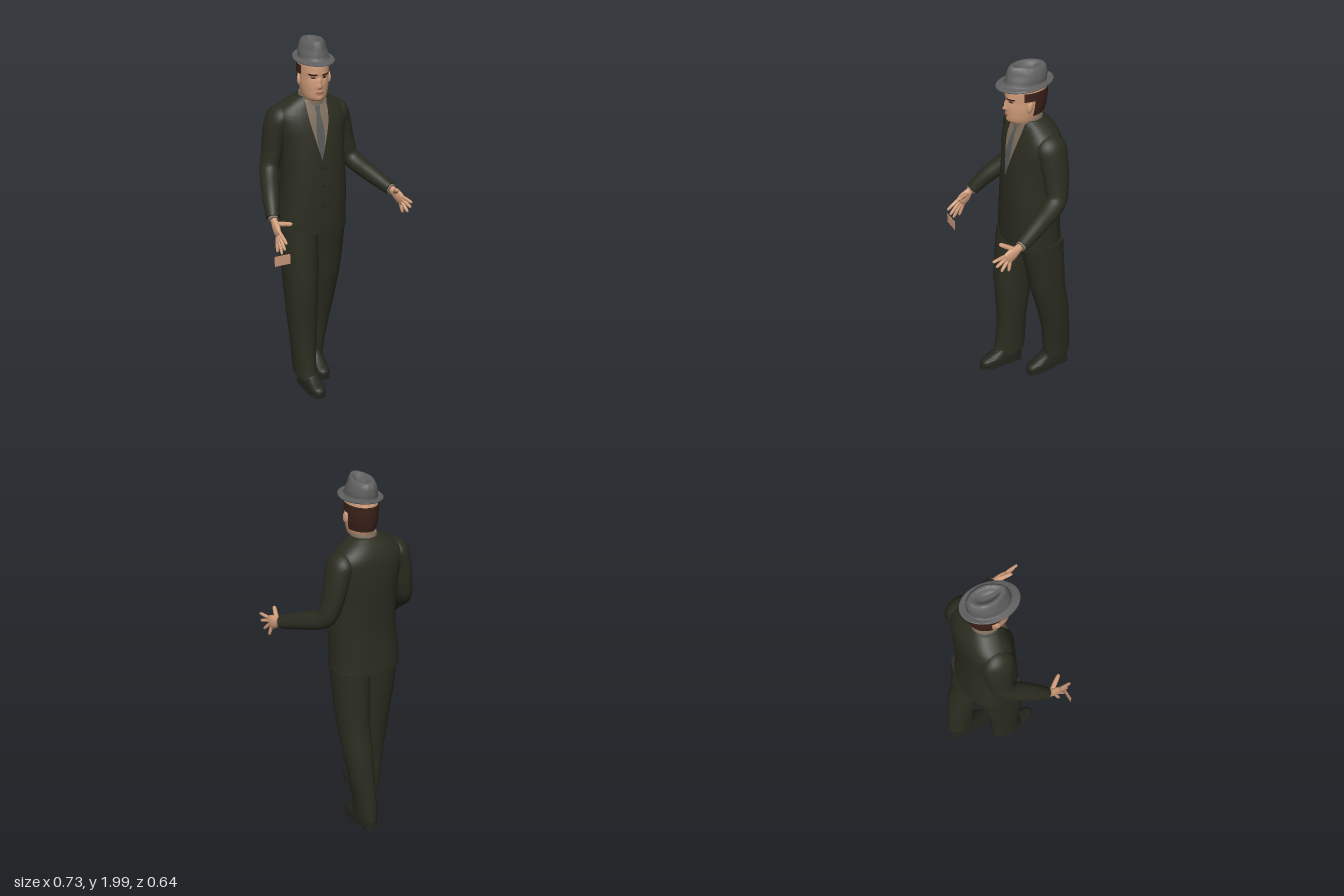
import * as THREE from 'three';
import { toCreasedNormals } from 'three/addons/utils/BufferGeometryUtils.js';

const paint = (name, color) => Object.assign(new THREE.MeshStandardMaterial({ color }), { name });
const MAT = {
  suit: paint('dark olive cloth', 0x2b2c20), skin: paint('skin', 0xd09c7a), hair: paint('brown hair', 0x3a2119),
  hat: paint('grey felt', 0x606060), shirt: paint('beige shirt', 0x80705f), tie: paint('grey tie', 0x565a59),
  shoe: paint('black leather', 0x23251d), card: paint('tan card', 0xc9977a), lips: paint('lips', 0xa56e5a),
  eye: paint('dark eye', 0x2a1c18),
};

// Smooth interpolation through rows of numbers, u from 0 to 1
function at(rows, u) {
  const f = u * (rows.length - 1), i = Math.min(Math.floor(f), rows.length - 2), t = f - i;
  const g = k => rows[Math.max(0, Math.min(rows.length - 1, k))];
  return rows[0].map((_, c) => {
    const [p, a, b, q] = [g(i - 1)[c], g(i)[c], g(i + 1)[c], g(i + 2)[c]];
    return a + 0.5 * t * (b - p + t * (2 * p - 5 * a + 4 * b - q + t * (3 * (a - b) + q - p)));
  });
}
const sp = (v, p) => Math.sign(v) * Math.abs(v) ** (2 / p);

function build(name, mat, pos, idx) {
  const geo = new THREE.BufferGeometry();
  geo.setAttribute('position', new THREE.Float32BufferAttribute(pos, 3));
  geo.setIndex(idx);
  const mesh = new THREE.Mesh(toCreasedNormals(geo, 1.0), mat);
  mesh.name = name;
  return mesh;
}

// Oval cross-sections along a path: rows are [x, y, z, radius along hint, radius across]
function sweep(name, mat, rows, { n = 24, steps = 6, level = false, hint = [0, 0, 1], pow = 2, arc = null, bend = null } = {}) {
  const S = steps * (rows.length - 1), pos = [], idx = [], cols = arc ? n + 1 : n;
  const T = new THREE.Vector3(), U = new THREE.Vector3(), V = new THREE.Vector3(), P = new THREE.Vector3();
  for (let i = 0; i <= S; i++) {
    const r = at(rows, i / S), a = at(rows, Math.max(0, i / S - 0.01)), b = at(rows, Math.min(1, i / S + 0.01));
    if (level) T.set(0, 1, 0); else T.set(b[0] - a[0], b[1] - a[1], b[2] - a[2]).normalize();
    U.set(...hint).addScaledVector(T, -T.dot(U)).normalize();
    V.crossVectors(T, U);
    for (let j = 0; j < cols; j++) {
      const t = arc ? arc[0] + (arc[1] - arc[0]) * j / n : j / n * Math.PI * 2;
      P.set(r[0], r[1], r[2]).addScaledVector(U, r[3] * sp(Math.cos(t), pow)).addScaledVector(V, r[4] * sp(Math.sin(t), pow));
      if (bend) bend(P);
      pos.push(P.x, P.y, P.z);
    }
  }
  for (let i = 0; i < S; i++) for (let j = 0; j < n; j++) {
    const k = (j + 1) % cols, a = i * cols + j, b = i * cols + k;
    idx.push(a, b, b + cols, a, b + cols, a + cols);
  }
  if (!arc) [[0, 0], [S, 1]].forEach(([i, end]) => {
    const c = pos.length / 3;
    pos.push(...at(rows, end).slice(0, 3));
    for (let j = 0; j < n; j++) {
      const a = i * n + j, b = i * n + (j + 1) % n;
      idx.push(c, end ? a : b, end ? b : a);
    }
  });
  return build(name, mat, pos, idx);
}

// Upright form from level slices: rows are [y, centre x, half width, front z, back z]
const stack = (name, mat, rows, opt) => sweep(name, mat,
  rows.map(([y, x, rx, f, b]) => [x, y, (f + b) / 2, (f - b) / 2, rx]), { level: true, ...opt });

// Depth of an upright form at (x, y), on its front or back
function surfaceOf(rows, pow, bump = () => 0) {
  const dense = Array.from({ length: 121 }, (_, i) => at(rows, i / 120));
  return (x, y, side = 1) => {
    const i = Math.max(1, dense.findIndex(r => r[0] >= y)), p = dense[i - 1], q = dense[i];
    const t = (y - p[0]) / (q[0] - p[0]), [, c, rx, f, b] = p.map((v, k) => v + (q[k] - v) * t);
    const w = (1 - Math.min(1, Math.abs((x - c) / rx)) ** pow) ** (1 / pow);
    return (f + b) / 2 + side * (f - b) / 2 * w + (side > 0 ? bump(x, y) : 0);
  };
}

// Thin piece lying on a surface: rows are [y, x from, x to], going up
function patch(name, mat, rows, surf, off, side = 1) {
  const nx = 8, ny = 6 * (rows.length - 1), pos = [], idx = [];
  for (let i = 0; i <= ny; i++) {
    const [y, x0, x1] = at(rows, i / ny);
    for (let j = 0; j <= nx; j++) {
      const x = x0 + (x1 - x0) * (side > 0 ? j : nx - j) / nx;
      pos.push(x, y, surf(x, y, side) + off * side);
    }
  }
  for (let i = 0; i < ny; i++) for (let j = 0; j < nx; j++) {
    const a = i * (nx + 1) + j, b = a + nx + 1;
    idx.push(a, a + 1, b + 1, a, b + 1, b);
  }
  return build(name, mat, pos, idx);
}
const mirror = (rows, s, cx) => rows.map(([y, a, b]) => s > 0 ? [y, cx + a, cx + b] : [y, cx - b, cx - a]);
const group = (name, ...parts) => { const g = new THREE.Group(); g.name = name; g.add(...parts); return g; };

function makeHead() {
  const face = [[1.6, 0, .062, .05, -.09], [1.66, 0, .058, .045, -.08], [1.682, 0, .057, .05, -.078], [1.69, 0, .056, .088, -.078],
    [1.71, 0, .063, .1, -.08], [1.735, 0, .069, .102, -.09], [1.77, 0, .074, .104, -.1], [1.81, 0, .076, .102, -.105],
    [1.85, 0, .077, .105, -.107], [1.88, 0, .076, .1, -.102], [1.92, 0, .07, .085, -.085]];
  // Nose, brows, eye sockets, lips and chin as soft bumps: x, y, width, height, amount
  const bumps = [[0, 1.768, .010, .010, .018], [0, 1.793, .008, .018, .012], [.03, 1.83, .02, .008, .005], [-.03, 1.83, .02, .008, .005],
    [.03, 1.812, .013, .008, -.007], [-.03, 1.812, .013, .008, -.007], [0, 1.735, .018, .008, .006], [0, 1.702, .016, .01, .005]];
  const bump = (x, y) => bumps.reduce((s, [bx, by, w, h, k]) => s + k * Math.exp(-(((x - bx) / w) ** 2) - ((y - by) / h) ** 2), 0);
  const surf = surfaceOf(face, 2, bump);
  const g = group('head', stack('face', MAT.skin, face, { n: 72, steps: 7, bend: p => { if (p.z > .02) p.z += bump(p.x, p.y); } }));
  for (const s of [1, -1]) {
    g.add(patch('eyebrow', MAT.hair, mirror([[1.824, .012, .046], [1.833, .014, .056]], s, 0), surf, .002),
      patch('eye', MAT.eye, mirror([[1.807, .024, .036], [1.811, .019, .041], [1.815, .024, .036]], s, 0), surf, .002));
    const ear = new THREE.Mesh(new THREE.SphereGeometry(1, 16, 12), MAT.skin);
    ear.name = 'ear';
    ear.scale.set(.01, .031, .018);
    ear.position.set(s * .078, 1.788, .008);
    ear.rotation.set(-.15, s * .3, 0);
    g.add(ear);
  }
  g.add(patch('mouth', MAT.lips, [[1.729, -.012, .012], [1.735, -.023, .023], [1.741, -.012, .012]], surf, .002));
  // Hair round the back and over the temples
  const shell = face.filter(r => r[0] > 1.72 && r[0] < 1.86).map(([y, x, rx, f, b]) => [y, x, rx + .004, f + .004, b - .005]);
  const brow = [[1.822, 0, .082, .107, -.112], [1.868, 0, .082, .107, -.112]];
  g.add(stack('backHair', MAT.hair, [...shell, [1.868, 0, .081, .104, -.111]], { n: 40, arc: [1.72, 4.563] }),
    stack('templeHair', MAT.hair, brow, { n: 40, arc: [1.2, 5.083] }));
  // Felt hat: underside, brim edge, crown, then the crease on top
  const hat = [[1.888, 0, .068, .1, -.098], [1.886, 0, .098, .147, -.134], [1.891, 0, .102, .153, -.14], [1.895, 0, .098, .147, -.134],
    [1.901, 0, .077, .112, -.108], [1.93, 0, .074, .104, -.109], [1.965, 0, .064, .095, -.107], [1.987, 0, .049, .08, -.094],
    [1.985, 0, .036, .06, -.074], [1.965, 0, .017, .035, -.04], [1.962, 0, .002, .01, -.01]];
  g.add(stack('hat', MAT.hat, hat, { n: 48, bend: p => {
    const r = Math.hypot(p.x / .1, (p.z - .007) / .147);
    if (p.y < 1.9 && r > .75) p.y += (r - .75) * (p.z < 0 ? -.4 * p.z : -.1 * p.z);
    if (p.y > 1.91) {
      p.x *= 1 - 3 * Math.max(0, p.z) * Math.min(1, (p.y - 1.91) / .04);
      p.y += p.z * .05 * (p.y - 1.91) / .08;
    }
  } }));
  g.position.set(-.016, 0, -.07);
  g.rotation.y = -.13;
  return g;
}

function makeJacket() {
  const rows = [[.968, -.018, .19, .045, -.245], [1.05, -.018, .186, .047, -.24], [1.2, -.01, .177, .048, -.232], [1.35, -.012, .171, .04, -.235],
    [1.45, -.014, .176, .028, -.238], [1.54, -.018, .19, .012, -.236], [1.6, -.022, .19, -.005, -.23], [1.64, -.022, .165, -.02, -.215],
    [1.67, -.02, .125, -.03, -.195], [1.7, -.018, .075, -.035, -.165]];
  const surf = surfaceOf(rows, 2.4), cx = -.02;
  const g = group('jacket', stack('jacketBody', MAT.suit, rows, { n: 48, pow: 2.4 }),
    patch('shirtFront', MAT.shirt, [[1.38, -.024, -.018], [1.5, -.056, .016], [1.6, -.078, .038], [1.685, -.078, .038]], surf, .004),
    patch('tie', MAT.tie, [[1.38, -.024, -.018], [1.5, -.042, .002], [1.6, -.034, -.006], [1.625, -.03, -.01], [1.655, -.038, -.002]], surf, .008),
    patch('frontOverlap', MAT.suit, [[.97, -.03, .01], [1.15, -.035, .0], [1.38, -.035, -.01]], surf, .004),
    patch('backVent', MAT.suit, [[.972, -.02, .005], [1.15, -.02, .0]], surf, .005, -1),
    stack('shirtCollar', MAT.shirt, [[1.66, -.018, .075, -.012, -.165], [1.69, -.018, .07, -.012, -.163], [1.715, -.018, .064, -.02, -.158]]));
  for (const s of [1, -1]) g.add(
    patch('collarWing', MAT.shirt, mirror([[1.61, .03, .034], [1.65, .014, .052], [1.69, .004, .06]], s, cx), surf, .011),
    patch('lapel', MAT.suit, mirror([[1.37, -.002, .004], [1.48, .028, .078], [1.57, .05, .118], [1.64, .058, .1], [1.692, .06, .078]], s, cx), surf, .009),
    patch('pocketFlap', MAT.suit, mirror([[1.09, .06, .145], [1.125, .058, .143]], s, cx), surf, .006));
  for (const y of [1.13, 1.24, 1.34]) {
    const button = new THREE.Mesh(new THREE.CylinderGeometry(.008, .008, .006, 12), MAT.shoe);
    button.name = 'button';
    button.rotation.x = Math.PI / 2;
    button.position.set(cx, y, surf(cx, y) + .007);
    g.add(button);
  }
  return g;
}

// Sleeve, cuff, palm, four fingers and a thumb
function makeArm(side, sleeve, wrist, knuckles, tips, thumb) {
  const end = sleeve[sleeve.length - 1].slice(0, 3), mix = (a, b, t) => a.map((v, i) => v + (b[i] - v) * t);
  const up = [0, 1, .5];
  const g = group(side + 'Arm', sweep('sleeve', MAT.suit, sleeve, { n: 24 }),
    sweep('shirtCuff', MAT.shirt, [[...mix(end, wrist, -.5), .029, .026], [...mix(end, wrist, .6), .029, .026]], { hint: up }),
    sweep('palm', MAT.skin, [[...end, .022, .018], [...wrist, .022, .017], [...mix(wrist, knuckles, .55), .035, .017],
      [...knuckles, .034, .012], [...mix(wrist, knuckles, 1.12), .024, .006]], { hint: up }));
  const finger = (name, a, b, r) => sweep(name, MAT.skin,
    [[...a, r, r], [...mix(a, b, .5), r, r], [...mix(a, b, .9), r * .8, r * .8], [...b, r * .2, r * .2]], { n: 10, steps: 4, hint: [1, 0, 0] });
  tips.forEach((tip, i) => {
    const k = (1.5 - i) * .016;
    g.add(finger('finger', [knuckles[0], knuckles[1] + k * .8, knuckles[2] + k * .6], tip, .0092));
  });
  g.add(finger('thumb', mix(wrist, knuckles, .2), thumb, .0125));
  return g;
}

function makeShoe(name, x, y, z, tilt) {
  const g = group(name,
    stack('upper', MAT.shoe, [[.012, 0, .045, .13, -.125], [.03, 0, .049, .134, -.128], [.055, 0, .047, .122, -.128],
      [.075, 0, .044, .075, -.122], [.1, 0, .042, .03, -.115], [.135, 0, .04, .0, -.11]], { n: 32, pow: 2.5 }),
    stack('sole', MAT.shoe, [[.006, 0, .05, .137, -.13], [.018, 0, .051, .138, -.131]], { n: 32, pow: 2.5, steps: 1 }),
    stack('heel', MAT.shoe, [[-.008, 0, .04, -.05, -.127], [.012, 0, .042, -.045, -.129]], { n: 24, pow: 3, steps: 1 }));
  g.position.set(x, y, z);
  g.rotation.x = tilt;
  return g;
}

export function createModel() {
  const model = group('walkingMan', makeHead(), makeJacket());
  model.add(
    makeArm('left', [[.09, 1.625, -.125, .04, .03], [.135, 1.59, -.125, .08, .058], [.163, 1.52, -.13, .075, .058], [.194, 1.4, -.13, .065, .052],
      [.225, 1.305, -.105, .054, .049], [.28, 1.245, .03, .046, .044], [.325, 1.2, .145, .036, .034]],
      [.33, 1.194, .165], [.343, 1.165, .235],
      [[.352, 1.18, .324], [.357, 1.145, .308], [.357, 1.108, .28], [.352, 1.09, .235]], [.302, 1.235, .26]),
    makeArm('right', [[-.14, 1.63, -.125, .04, .03], [-.18, 1.595, -.125, .08, .058], [-.208, 1.52, -.13, .075, .058], [-.226, 1.4, -.13, .065, .052],
      [-.25, 1.31, -.11, .054, .049], [-.292, 1.215, .0, .046, .044], [-.318, 1.132, .08, .036, .034]],
      [-.32, 1.118, .1], [-.322, 1.068, .15],
      [[-.314, 1.045, .238], [-.317, 1.005, .222], [-.324, .975, .2], [-.332, .972, .16]], [-.264, 1.13, .195]));
  // Trousers in mid stride, right leg forward
  model.add(group('trousers',
    stack('rightTrouserLeg', MAT.suit, [[.112, -.097, .058, .08, -.11], [.2, -.1, .06, .062, -.118], [.35, -.102, .072, .05, -.12], [.5, -.104, .082, .055, -.14],
      [.65, -.106, .088, .062, -.165], [.8, -.105, .095, .055, -.19], [.99, -.104, .1, .038, -.215]], { n: 32, pow: 2.2 }),
    stack('leftTrouserLeg', MAT.suit, [[.112, .06, .05, -.164, -.32], [.2, .065, .054, -.155, -.315], [.35, .075, .066, -.135, -.3], [.5, .082, .076, -.1, -.283],
      [.65, .085, .082, -.06, -.255], [.8, .085, .088, -.03, -.245], [.99, .08, .094, .01, -.235]], { n: 32, pow: 2.2 })));
  model.add(makeShoe('rightShoe', -.087, .038, .04, 0), makeShoe('leftShoe', .051, .016, -.19, .13));
  const card = new THREE.Mesh(new THREE.BoxGeometry(.085, .054, .003), MAT.card);
  card.name = 'card';
  card.position.set(-.328, .95, .211);
  model.add(card);
  return model;
}
